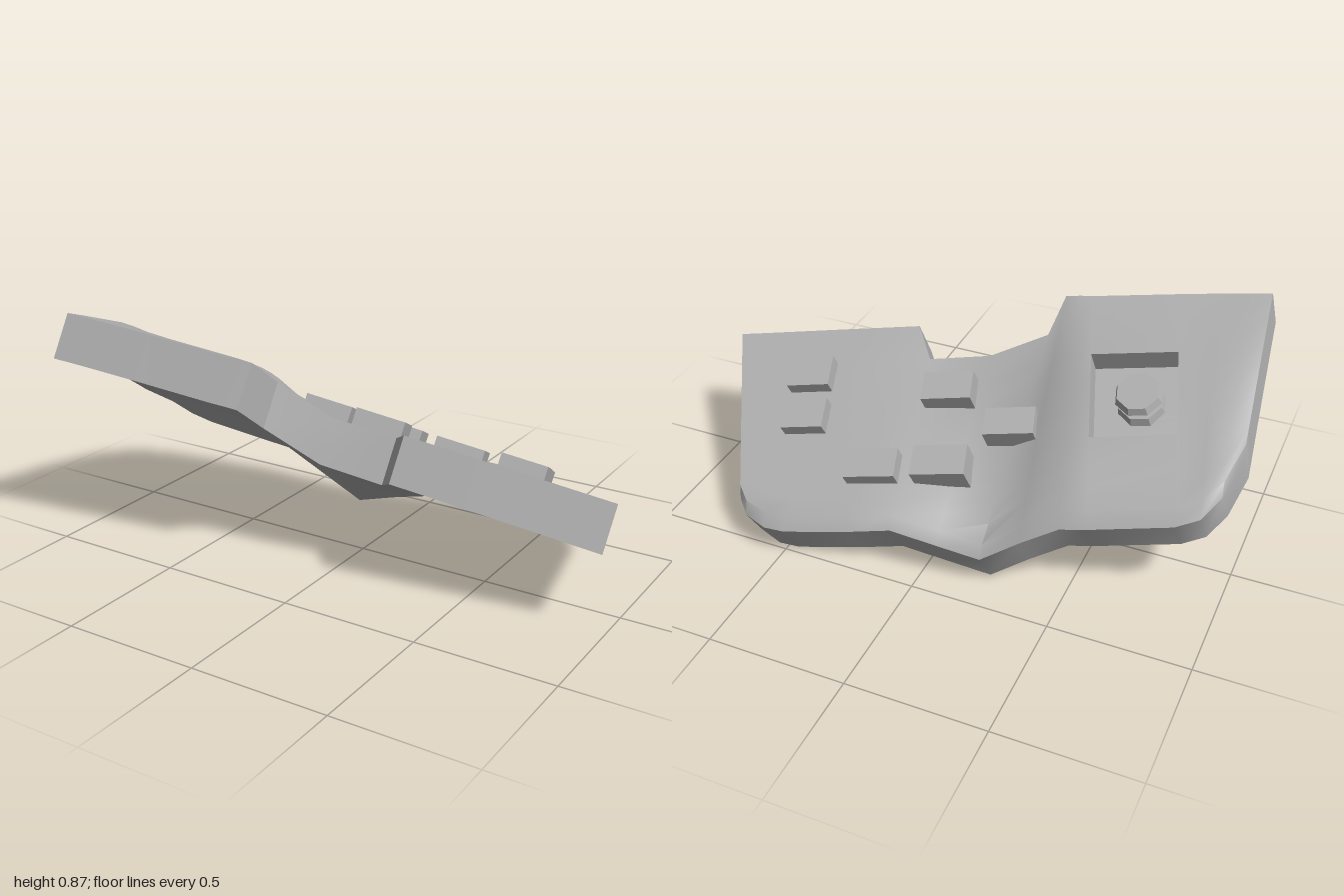
import * as THREE from 'three';
import { toCreasedNormals } from 'three/addons/utils/BufferGeometryUtils.js';

// Tilted base plane and the direction through the slab thickness
const plane = (x, z) => 0.46 - 0.09 * (x - 1) + 0.52 * (z - 0.1);
const THICK = new THREE.Vector3(-0.013, -0.15, 0.072);

// Columns: front x, z, lift above plane, back x, z, lift, mid bulge
const COLS = [
  [-0.93, 0.47, 0.055, -1.0, -0.08, 0.05, 0.03],
  [-0.85, 0.455, 0.06, -0.97, -0.2, 0.035, 0.05],
  [-0.74, 0.435, 0.065, -0.92, -0.26, 0.01, 0.05],
  [-0.616, 0.412, 0.07, -0.845, -0.29, 0, 0.05],
  [-0.323, 0.357, 0.08, -0.567, -0.35, 0, 0.05],
  [-0.28, 0.35, 0.083, -0.48, -0.365, 0, 0.04],
  [-0.23, 0.34, 0.085, -0.35, -0.39, -0.06, 0.02],
  [-0.21, 0.22, 0.05, -0.22, -0.42, -0.125, 0],
  [-0.01, 0.17, -0.015, -0.07, -0.45, -0.06, 0],
  [0.21, 0.125, -0.015, 0.09, -0.475, 0, 0],
  [0.3, 0.23, 0, 0.25, -0.51, 0, 0],
  [0.55, 0.184, 0, 0.47, -0.55, 0, 0],
  [0.72, 0.152, 0, 0.55, -0.55, 0, 0],
  [0.88, 0.122, 0, 0.64, -0.52, 0, 0],
  [1.0, 0.1, 0, 0.69, -0.47, 0, 0],
];
const ROWS = [0, 0.16, 0.32, 0.44, 0.56, 0.685, 0.78, 0.87, 0.96, 1];
const NI = COLS.length - 1, NJ = ROWS.length - 1;
const POCKET = { i0: 3, i1: 4, j0: 2, j1: 5 };

function surface(i, j) {
  const [fx, fz, fh, bx, bz, bh, bulge] = COLS[i], t = ROWS[j];
  const x = fx + (bx - fx) * t, z = fz + (bz - fz) * t;
  const lift = fh + (bh - fh) * t + bulge * Math.sin(Math.PI * t);
  return new THREE.Vector3(x, plane(x, z) + lift, z);
}
const top = (i, j) => {
  const p = surface(i, j);
  if (j === NJ) p.y -= 0.03; // softened rear edge
  return p;
};
const bottom = (i, j) => surface(i, j).add(THICK);
const floor = (i, j) => surface(i, j).addScaledVector(THICK, 0.54);

// Counter-clockwise rim of a block of grid cells, seen from above
function rim(i0, i1, j0, j1) {
  const r = [];
  for (let i = i0; i < i1; i++) r.push([i, j0]);
  for (let j = j0; j < j1; j++) r.push([i1, j]);
  for (let i = i1; i > i0; i--) r.push([i, j1]);
  for (let j = j1; j > j0; j--) r.push([i0, j]);
  return r;
}

function slabGeometry() {
  const pos = [];
  const quad = (a, b, c, d) => [a, b, c, a, c, d].forEach((p) => pos.push(p.x, p.y, p.z));
  for (let i = 0; i < NI; i++) {
    for (let j = 0; j < NJ; j++) {
      const inPocket = i >= POCKET.i0 && i < POCKET.i1 && j >= POCKET.j0 && j < POCKET.j1;
      const f = inPocket ? floor : top;
      quad(f(i, j), f(i + 1, j), f(i + 1, j + 1), f(i, j + 1));
      quad(bottom(i, j + 1), bottom(i + 1, j + 1), bottom(i + 1, j), bottom(i, j));
    }
  }
  // Outer walls
  const outer = rim(0, NI, 0, NJ);
  outer.forEach((a, k) => {
    const b = outer[(k + 1) % outer.length];
    quad(bottom(...a), bottom(...b), top(...b), top(...a));
  });
  // Pocket walls
  const inner = rim(POCKET.i0, POCKET.i1, POCKET.j0, POCKET.j1);
  inner.forEach((a, k) => {
    const b = inner[(k + 1) % inner.length];
    quad(floor(...b), floor(...a), top(...a), top(...b));
  });
  const g = new THREE.BufferGeometry();
  g.setAttribute('position', new THREE.Float32BufferAttribute(pos, 3));
  return toCreasedNormals(g, 0.7);
}

export function createModel() {
  const model = new THREE.Group();
  model.name = 'controlPanel';
  const grey = new THREE.MeshStandardMaterial({ color: 0xb0b0b0 });
  grey.name = 'grey';

  const slab = new THREE.Mesh(slabGeometry(), grey);
  slab.name = 'panelSlab';
  model.add(slab);

  // Orientation shared by everything mounted on the panel
  const up = new THREE.Vector3(0.09, 1, -0.52).normalize();
  const across = new THREE.Vector3(1, -0.189, -0.19).normalize();
  const toFront = across.clone().cross(up).normalize();
  across.copy(up).cross(toFront);
  const tilt = new THREE.Quaternion().setFromRotationMatrix(
    new THREE.Matrix4().makeBasis(across, up, toFront));

  // Buttons: top centre x, z, width, depth
  const buttons = [
    [-0.005, -0.278, 0.195, 0.115],
    [0.232, -0.33, 0.187, 0.11],
    [-0.195, -0.107, 0.18, 0.105],
    [0.078, -0.018, 0.183, 0.112],
    [0.566, -0.2, 0.158, 0.12],
    [0.619, -0.046, 0.162, 0.122],
  ];
  for (const [x, z, w, d] of buttons) {
    const g = new THREE.BoxGeometry(w, 0.12, d).translate(0, -0.06, 0);
    const button = new THREE.Mesh(g, grey);
    button.name = 'button';
    button.position.set(x, plane(x, z) + 0.056, z);
    button.quaternion.copy(tilt);
    model.add(button);
  }

  // Octagonal stick in the pocket: cap, stem and base
  const stick = new THREE.Group();
  stick.name = 'thumbStick';
  stick.position.set(-0.6, 0.655, 0.04);
  stick.quaternion.copy(tilt);
  const parts = [
    ['stickCap', 0.076, 0.086, 0.028, -0.014],
    ['stickStem', 0.055, 0.055, 0.05, -0.05],
    ['stickBase', 0.08, 0.09, 0.04, -0.08],
  ];
  for (const [name, rTop, rBottom, h, y] of parts) {
    const g = toCreasedNormals(new THREE.CylinderGeometry(rTop, rBottom, h, 8), 0.3);
    const part = new THREE.Mesh(g, grey);
    part.name = name;
    part.position.y = y;
    part.rotation.y = Math.PI / 8;
    stick.add(part);
  }
  model.add(stick);
  return model;
}
